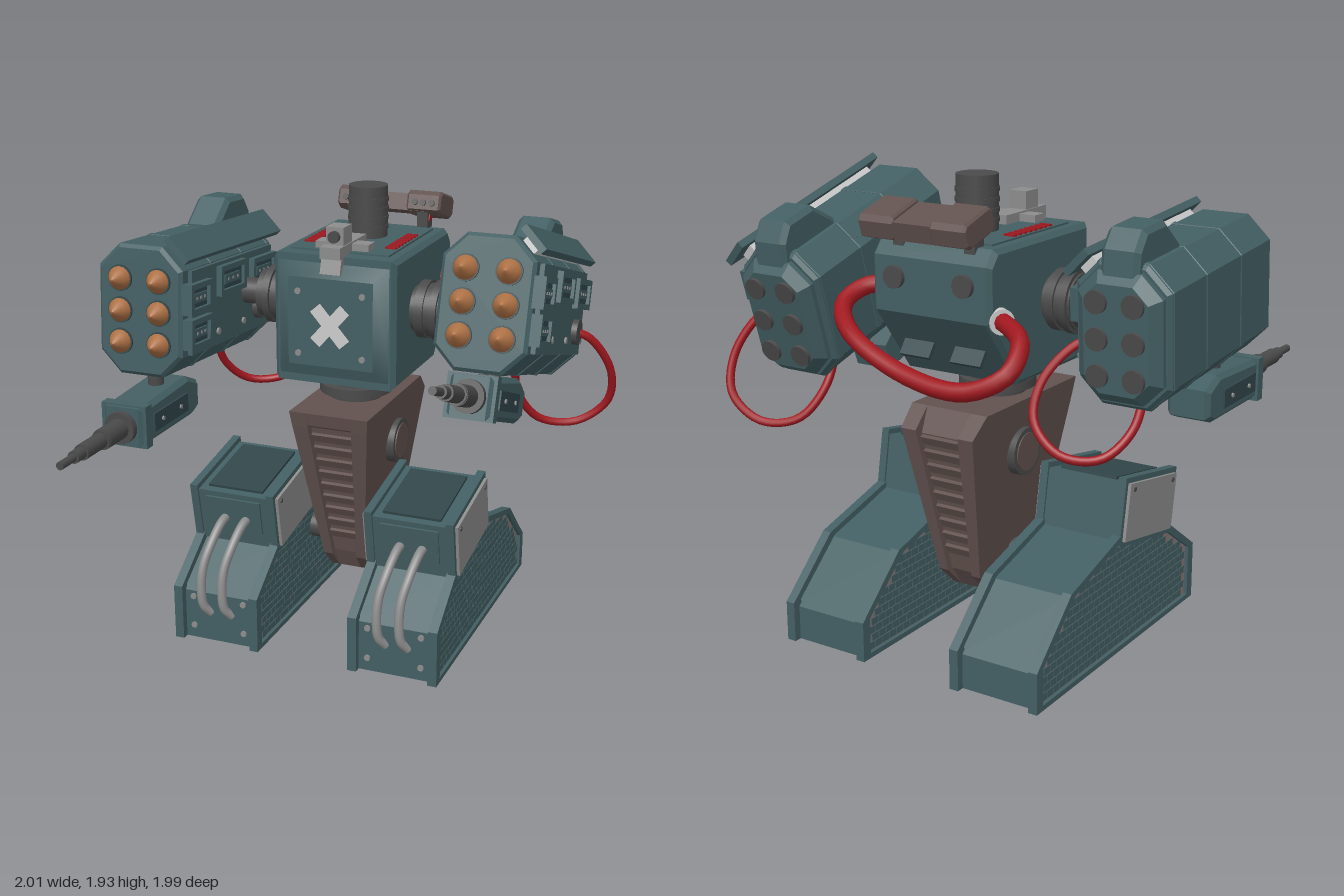
import * as THREE from 'three';
import { mergeGeometries } from 'three/addons/utils/BufferGeometryUtils.js';

const mat = (color) => new THREE.MeshStandardMaterial({ color });
const M = {
  teal: mat(0x435f63), deep: mat(0x32474b), brown: mat(0x62524f), dark: mat(0x4a4a4a),
  red: mat(0xa0181f), copper: mat(0xac7044), steel: mat(0x8c8c8c), light: mat(0xcccccc), mesh: mat(0x857876),
};
const CX = -0.06; // middle of the machine

function add(parent, name, geo, m, x = 0, y = 0, z = 0, rx = 0, ry = 0, rz = 0) {
  const o = new THREE.Mesh(geo, m);
  o.name = name;
  o.position.set(x, y, z);
  o.rotation.set(rx, ry, rz);
  parent.add(o);
}
function group(parent, name, x = 0, y = 0, z = 0, rx = 0) {
  const g = new THREE.Group();
  g.name = name;
  g.position.set(x, y, z);
  g.rotation.x = rx;
  parent.add(g);
  return g;
}
const box = (w, h, d) => new THREE.BoxGeometry(w, h, d);
const cylX = (r, l, n = 24) => new THREE.CylinderGeometry(r, r, l, n).rotateZ(-Math.PI / 2);
const cylY = (r, l, n = 24) => new THREE.CylinderGeometry(r, r, l, n);
const cylZ = (r, l, n = 20) => new THREE.CylinderGeometry(r, r, l, n).rotateX(Math.PI / 2);
const toShape = (pts) => new THREE.Shape(pts.map((p) => new THREE.Vector2(...p)));

// side profile of [z, y] points, extruded across x and centred
function slab(pts, width, bevel = 0, hole = null) {
  const s = toShape(pts);
  if (hole) s.holes.push(new THREE.Path(hole.map((p) => new THREE.Vector2(...p))));
  const g = new THREE.ExtrudeGeometry(s, {
    depth: width - 2 * bevel, bevelEnabled: bevel > 0, bevelSize: bevel, bevelThickness: bevel, bevelOffset: -bevel, bevelSegments: 1,
  });
  return g.translate(0, 0, -(width - 2 * bevel) / 2).rotateY(-Math.PI / 2);
}
function cable(parent, name, pts, r, m) {
  const curve = new THREE.CatmullRomCurve3(pts.map((p) => new THREE.Vector3(...p)));
  add(parent, name, new THREE.TubeGeometry(curve, 40, r, 10), m);
}

// ---- feet ----
const footPts = [[0.37, 0], [0.37, 0.25], [0.13, 0.42], [-0.28, 0.51], [-0.68, 0.4], [-0.93, 0.17], [-0.93, 0]];
const innerPts = footPts.map(([z, y]) => [-0.28 + (z + 0.28) * 0.93, 0.22 + (y - 0.22) * 0.9]);
function innerTop(z) {
  for (let i = 1; i < 5; i++) {
    const [a, ya] = innerPts[i], [b, yb] = innerPts[i + 1];
    if (z <= a && z >= b) return ya + ((yb - ya) * (a - z)) / (a - b);
  }
  return 0;
}
function treadCells() {
  const cells = [];
  for (let r = 0; r < 14; r++) {
    for (let c = 0; c < 26; c++) {
      const z = -0.86 + c * 0.047 + (r % 2) * 0.023, y = 0.042 + r * 0.034;
      if (z < 0.31 && y + 0.008 < Math.min(innerTop(z - 0.02), innerTop(z + 0.02))) cells.push(box(0.01, 0.03, 0.043).translate(0, y, z));
    }
  }
  return mergeGeometries(cells);
}
function makeFoot(parent, name, x) {
  const f = group(parent, name, x, 0, 0);
  const low = footPts.map(([z, y]) => [-0.28 + (z + 0.28) * 0.95, Math.max(0, y - 0.025)]);
  add(f, 'footCore', slab(low, 0.35), M.teal);
  const cells = treadCells();
  for (const s of [-1, 1]) {
    add(f, 'footRim', slab(footPts, 0.04, 0, innerPts), M.teal, s * 0.18);
    add(f, 'meshPanel', slab(innerPts, 0.01), M.mesh, s * 0.18);
    add(f, 'meshCells', cells, M.teal, s * 0.183);
  }
  // tilted ankle housing
  const h = group(f, 'ankleHousing', 0, 0.555, -0.06, 0.18);
  add(h, 'housingCore', box(0.34, 0.25, 0.43), M.teal);
  add(h, 'housingLid', box(0.26, 0.03, 0.36), M.deep, 0, 0.122, 0);
  add(h, 'housingFace', box(0.26, 0.16, 0.02), M.teal, 0, 0.02, 0.215);
  for (const s of [-1, 1]) {
    add(h, 'housingFlange', box(0.035, 0.285, 0.45), M.teal, s * 0.182, 0.005, 0);
    add(h, 'sidePlate', box(0.016, 0.24, 0.41), M.steel, s * 0.205, 0.005, 0);
    for (const z of [-0.17, 0.17]) add(h, 'plateRivet', cylX(0.01, 0.01, 8), M.dark, s * 0.212, 0.1, z);
    for (const y of [0.06, 0.2]) add(f, 'toeRivet', cylZ(0.014, 0.012, 8), M.steel, s * 0.12, y, 0.34);
  }
  // hoses over the toe
  for (const o of [-0.07, 0.03]) {
    cable(f, 'toeHose', [[o + 0.03, 0.52, 0.12], [o + 0.025, 0.51, 0.19], [o + 0.01, 0.43, 0.28], [o - 0.005, 0.34, 0.33], [o - 0.005, 0.24, 0.352], [o + 0.005, 0.17, 0.352], [o + 0.03, 0.13, 0.33]], 0.02, M.steel);
  }
}

// ---- missile pod: origin at the centre of the front face, body runs toward -z ----
const octagon = (w, h, c) => [[-w + c, -h], [w - c, -h], [w, -h + c], [w, h - c], [w - c, h], [-w + c, h], [-w, h - c], [-w, -h + c]];
function octPrism(w, h, c, depth, bevel) {
  return new THREE.ExtrudeGeometry(toShape(octagon(w, h, c)), {
    depth: depth - 2 * bevel, bevelEnabled: true, bevelThickness: bevel, bevelSize: bevel, bevelOffset: -bevel, bevelSegments: 1,
  }).translate(0, 0, bevel - depth);
}
function framedPanel(parent, y, z, w, h) {
  const p = group(parent, 'sidePanel', 0.205, y, z);
  for (const s of [-1, 1]) {
    add(p, 'panelFrame', box(0.07, 0.024, w), M.teal, 0, s * (h / 2 - 0.012), 0);
    add(p, 'panelFrame', box(0.07, h, 0.024), M.teal, 0, 0, s * (w / 2 - 0.012));
  }
  add(p, 'panelInset', box(0.04, h - 0.03, w - 0.03), M.deep);
  add(p, 'panelBar', box(0.055, h * 0.3, w * 0.6), M.teal);
  for (let i = -1; i <= 1; i++) add(p, 'panelStud', box(0.06, 0.012, 0.014), M.steel, 0, 0, i * w * 0.18);
}
function makePod(parent, name, x, y, z, pitch) {
  const p = group(parent, name, x, y, z, -pitch);
  add(p, 'podBody', octPrism(0.195, 0.278, 0.095, 0.88, 0.015), M.teal);
  add(p, 'podTail', octPrism(0.175, 0.25, 0.085, 0.11, 0.04), M.teal, 0, 0, -0.83);
  for (const bz of [-0.26, -0.56, -0.83]) add(p, 'podBand', octPrism(0.199, 0.282, 0.097, 0.03, 0.003), M.teal, 0, 0, bz);
  // missiles in front, exhausts behind
  const tip = [[0.05, 0], [0.05, 0.012], [0.036, 0.032], [0.015, 0.062], [0, 0.072]].map((q) => new THREE.Vector2(...q));
  for (const mx of [-0.09, 0.09]) {
    for (const my of [-0.135, 0, 0.135]) {
      add(p, 'missileSocket', cylZ(0.056, 0.016), M.deep, mx, my, 0);
      add(p, 'missileTip', new THREE.LatheGeometry(tip, 16).rotateX(Math.PI / 2), M.copper, mx, my, 0.003);
      add(p, 'exhaust', cylZ(0.045, 0.03), M.dark, mx * 0.85, my * 1.05, -0.94);
    }
  }
  // raised side armour
  add(p, 'sideArmour', box(0.03, 0.36, 0.78), M.teal, 0.2, 0, -0.45);
  framedPanel(p, 0.065, -0.105, 0.19, 0.13);
  framedPanel(p, -0.085, -0.11, 0.19, 0.13);
  framedPanel(p, 0.1, -0.41, 0.25, 0.13);
  framedPanel(p, 0.085, -0.73, 0.24, 0.13);
  add(p, 'cablePort', cylX(0.055, 0.05), M.dark, 0.215, -0.08, -0.7);
  for (const rz of [-0.3, -0.55, -0.82]) add(p, 'armourRivet', cylX(0.015, 0.012, 8), M.steel, 0.218, -0.12, rz);
  // slanted top rail
  add(p, 'topRail', box(0.13, 0.03, 0.92), M.teal, 0.172, 0.27, -0.46, 0, 0, -Math.PI / 4);
  add(p, 'railFiller', box(0.07, 0.04, 0.8), M.light, 0.15, 0.25, -0.46, 0, 0, -Math.PI / 4);
  // rear hump
  add(p, 'hump', slab([[-0.92, 0.2], [-0.9, 0.33], [-0.84, 0.4], [-0.68, 0.4], [-0.56, 0.29], [-0.56, 0.22]], 0.16, 0.02), M.teal);
}

// ---- gun: origin at the front of its housing, pointing +z ----
function makeGun(parent, name, x, y, z, pitch) {
  const g = group(parent, name, x, y, z, -pitch);
  add(g, 'gunHousing', slab([[0, -0.085], [0, 0.085], [-0.42, 0.105], [-0.52, 0.06], [-0.52, -0.06], [-0.46, -0.085]], 0.19, 0.02), M.teal);
  add(g, 'gunCollar', box(0.21, 0.185, 0.05), M.teal, 0, 0, -0.04);
  for (const s of [-1, 1]) {
    add(g, 'gunSidePlate', box(0.02, 0.08, 0.3), M.deep, s * 0.095, 0, -0.24);
    for (const pz of [-0.16, -0.32]) add(g, 'gunRivet', cylX(0.01, 0.012, 8), M.steel, s * 0.106, 0, pz);
  }
  add(g, 'gunRing', cylZ(0.07, 0.04), M.dark, 0, 0, 0.01);
  for (const [r, from, to] of [[0.045, 0, 0.17], [0.034, 0.17, 0.33], [0.042, 0.15, 0.18], [0.026, 0.33, 0.39], [0.017, 0.39, 0.49]]) {
    add(g, 'barrel', cylZ(r, to - from), M.dark, 0, 0, (from + to) / 2);
  }
  add(g, 'gunMount', cylY(0.035, 0.16, 12), M.dark, 0, 0.14, -0.3);
}

// leg parts narrow toward the ground
function taper(geo) {
  const pos = geo.attributes.position;
  for (let i = 0; i < pos.count; i++) pos.setX(i, pos.getX(i) * (0.5 + (0.5 * (pos.getY(i) - 0.21)) / 0.81));
  geo.computeVertexNormals();
  return geo;
}

export function createModel() {
  const root = new THREE.Group();
  root.name = 'walker';

  makeFoot(root, 'rightFoot', CX - 0.41);
  makeFoot(root, 'leftFoot', CX + 0.41);
  add(root, 'axle', cylX(0.057, 0.5), M.dark, CX, 0.34, -0.3);

  // tapered central leg with stepped grooves front and back
  const leg = group(root, 'leg', CX, 0, 0);
  const legPts = [[0.07, 1.02], [0.055, 0.95], [-0.12, 0.29], [-0.19, 0.21], [-0.46, 0.21], [-0.55, 0.3], [-0.7, 0.94], [-0.61, 1.02]];
  const corePts = [[0.07, 1.02], [0.055, 0.96], [0.015, 0.94], [-0.15, 0.3], [-0.19, 0.21], [-0.46, 0.21], [-0.52, 0.3], [-0.66, 0.92], [-0.61, 1.02]];
  add(leg, 'legCore', taper(slab(corePts, 0.22)), M.brown);
  for (const s of [-1, 1]) add(leg, 'legCheek', taper(slab(legPts, 0.075).translate(s * 0.1425, 0, 0)), M.brown);
  for (let i = 0; i < 9; i++) {
    const y = 0.4 + i * 0.062, w = 0.135 + i * 0.009;
    add(leg, 'frontStep', box(w, 0.04, 0.03), M.brown, 0, y, 0.01 - (0.94 - y) * 0.258, 0.5);
    add(leg, 'backStep', box(w, 0.04, 0.03), M.brown, 0, y, -0.655 + (0.92 - y) * 0.226, -0.5);
  }
  add(leg, 'hipDisc', cylX(0.1, 0.38, 28), M.dark, 0, 0.8, -0.33);
  add(leg, 'hipDiscCap', cylX(0.08, 0.39, 28), M.brown, 0, 0.8, -0.33);

  // waist
  for (const [r, y0, y1] of [[0.12, 1.0, 1.05], [0.16, 1.045, 1.085], [0.12, 1.085, 1.11], [0.08, 1.1, 1.2]]) {
    add(root, 'waist', cylY(r, y1 - y0, 28), M.dark, CX, (y0 + y1) / 2, -0.26);
  }

  // torso
  const torso = group(root, 'torso', CX, 0, 0);
  add(torso, 'hull', slab([[0, 1.14], [0, 1.7], [-0.68, 1.7], [-0.73, 1.64], [-0.73, 1.42], [-0.52, 1.14]], 0.55, 0.02), M.teal);
  add(torso, 'chestPlate', new THREE.CylinderGeometry(0.27, 0.37, 0.05, 4).rotateY(Math.PI / 4).rotateX(Math.PI / 2), M.teal, 0, 1.42, 0.015);
  add(torso, 'roofPlate', box(0.44, 0.015, 0.56), M.teal, 0, 1.7, -0.35);
  for (const s of [-1, 1]) {
    add(torso, 'chestMark', box(0.055, 0.2, 0.012), M.light, 0, 1.41, 0.043, 0, 0, s * 0.72);
    for (const y of [1.28, 1.55]) add(torso, 'chestRivet', cylZ(0.014, 0.012, 8), M.steel, s * 0.145, y, 0.042);
    for (let i = 0; i < 8; i++) add(torso, 'roofVent', box(0.05, 0.02, 0.018), M.red, s * 0.185, 1.705, -0.45 + i * 0.037);
    add(torso, 'backPort', cylZ(0.045, 0.03), M.dark, s * 0.16, 1.56, -0.735);
    add(torso, 'lowerBackVent', box(0.14, 0.12, 0.02), M.deep, s * 0.12, 1.28, -0.63, 0.64);
    // shoulder joint
    for (const [r, a, b] of [[0.1, 0.26, 0.32], [0.125, 0.3, 0.34], [0.115, 0.34, 0.41], [0.13, 0.37, 0.4], [0.105, 0.4, 0.44], [0.058, 0.44, 0.58]]) {
      add(torso, 'shoulder', cylX(r, b - a, 28), M.dark, s * (a + b) / 2, 1.44, -0.27);
    }
  }
  // roof hatch stack and sensor
  add(torso, 'stack', cylY(0.085, 0.23), M.dark, 0, 1.815, -0.4);
  for (let i = 0; i < 4; i++) add(torso, 'stackRing', cylY(0.089, 0.018), M.dark, 0, 1.75 + i * 0.04, -0.4);
  add(torso, 'sensorSpine', box(0.09, 0.05, 0.3), M.steel, 0, 1.72, -0.11);
  add(torso, 'sensorArm', box(0.24, 0.035, 0.07), M.steel, 0, 1.72, -0.13);
  add(torso, 'sensorHead', box(0.08, 0.1, 0.09), M.steel, 0, 1.77, -0.06);
  add(torso, 'sensorLens', cylZ(0.025, 0.03), M.dark, 0, 1.78, -0.01);
  add(torso, 'sensorBracket', box(0.09, 0.09, 0.03), M.steel, 0, 1.67, 0.015, -0.3);

  // rear roof canisters
  const pack = group(torso, 'roofPack', 0, 1.785, -0.745, -0.3);
  add(pack, 'packBar', box(0.34, 0.075, 0.18), M.brown);
  for (const s of [-1, 1]) {
    add(pack, 'canister', slab([[0.1, -0.03], [0.1, 0.035], [0.08, 0.055], [-0.08, 0.055], [-0.1, 0.035], [-0.1, -0.03], [-0.07, -0.05], [0.07, -0.05]], 0.16, 0.01), M.brown, s * 0.165);
    for (let i = -1; i <= 1; i++) add(pack, 'canisterPort', cylZ(0.014, 0.02, 10), M.dark, s * 0.165 + i * 0.04, 0, 0.1);
    add(pack, 'canisterLight', box(0.06, 0.03, 0.03), M.red, s * 0.165, -0.06, 0.06);
    add(torso, 'packPost', box(0.05, 0.12, 0.06), M.dark, s * 0.165, 1.71, -0.67);
  }

  // arms
  makePod(root, 'rightPod', -0.805, 1.47, 0.32, 0.07);
  makePod(root, 'leftPod', 0.62, 1.59, 0.085, 0.28);
  makeGun(root, 'rightGun', -0.81, 1.017, 0.5, 0);
  makeGun(root, 'leftGun', 0.615, 1.245, 0.23, 0.35);

  // power cables
  cable(root, 'mainCable', [[0.18, 1.5, -0.6], [0.29, 1.49, -0.66], [0.32, 1.44, -0.77], [0.2, 1.36, -0.89], [-0.1, 1.25, -0.95], [-0.38, 1.23, -0.96], [-0.52, 1.3, -0.9], [-0.5, 1.39, -0.78], [-0.36, 1.43, -0.68], [-0.3, 1.43, -0.65]], 0.036, M.red);
  add(root, 'cableSocket', cylX(0.05, 0.05), M.light, -0.34, 1.43, -0.67, 0, -0.6);
  cable(root, 'leftCable', [[0.83, 1.32, -0.58], [0.9, 1.28, -0.62], [0.98, 1.12, -0.7], [0.96, 0.96, -0.75], [0.83, 0.855, -0.73], [0.68, 0.87, -0.66], [0.6, 1.0, -0.57], [0.6, 1.2, -0.47]], 0.018, M.red);
  cable(root, 'rightCable', [[-0.6, 1.34, -0.38], [-0.53, 1.31, -0.44], [-0.45, 1.18, -0.55], [-0.46, 1.04, -0.62], [-0.58, 0.93, -0.63], [-0.72, 0.92, -0.56], [-0.8, 1.02, -0.46], [-0.81, 1.22, -0.36]], 0.018, M.red);
  return root;
}
